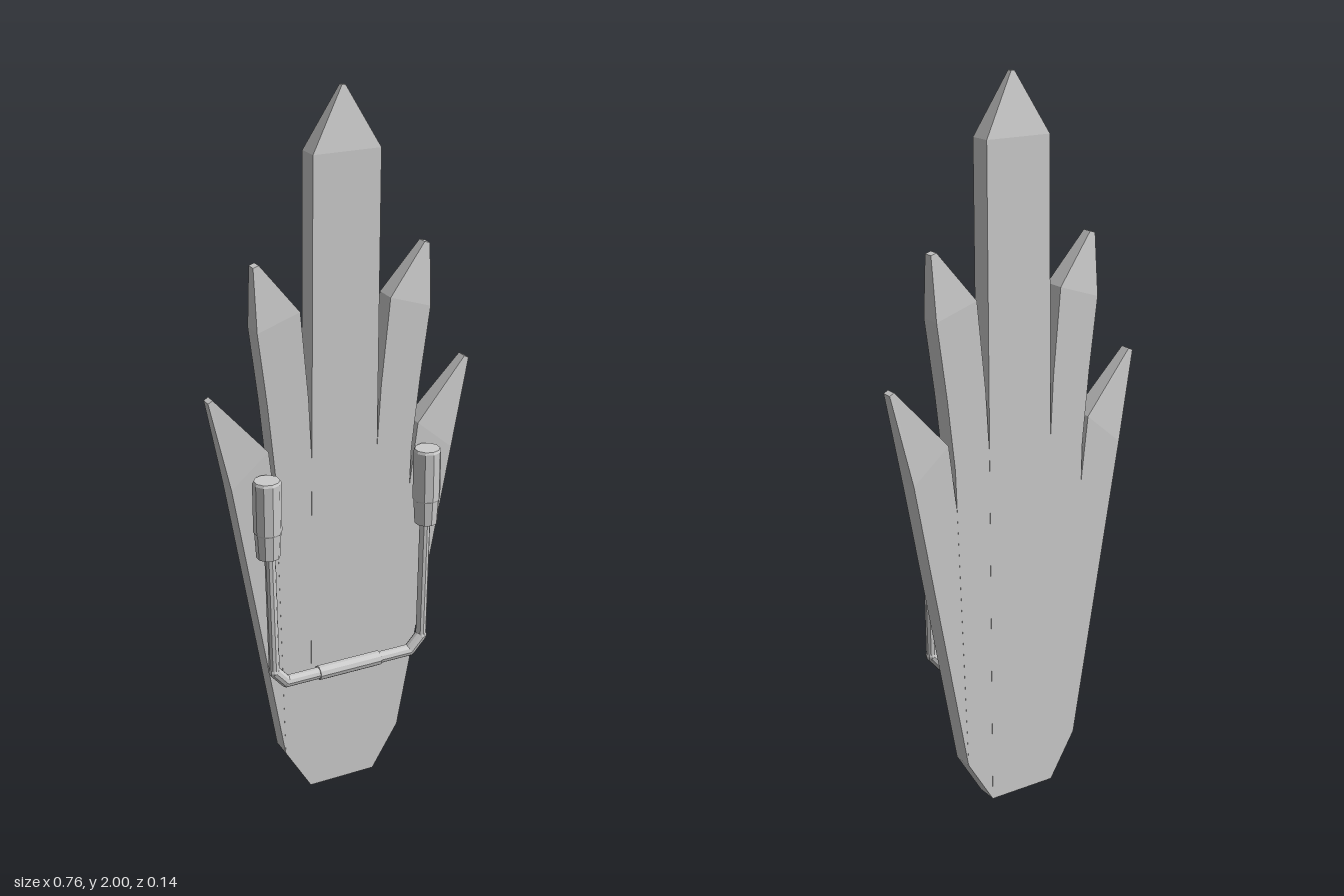
import * as THREE from 'three';

const material = new THREE.MeshStandardMaterial({ color: 0xcccccc, flatShading: true });
const SLAB_Z = -0.042;

function addMesh(parent, name, geometry) {
  const mesh = new THREE.Mesh(geometry, material);
  mesh.name = name;
  parent.add(mesh);
  return mesh;
}

// Lofts four-cornered sections; each row is [innerX, innerY, outerX, outerY, halfDepth].
// The whole fan leans slightly towards +x as it rises.
function plankGeometry(rows, side = 1) {
  const rings = rows.map(([ix, iy, ox, oy, h]) => {
    const inner = [side * ix, iy], outer = [side * ox, oy];
    const [l, r] = side > 0 ? [inner, outer] : [outer, inner];
    return [[l, h], [r, h], [r, -h], [l, -h]].map(
      ([[x, y], z]) => [x - 0.01 + 0.01 * y, y, SLAB_Z + z]);
  });
  const pos = [];
  const quad = (a, b, c, d) => pos.push(...a, ...b, ...c, ...a, ...c, ...d);
  for (let i = 0; i < rings.length - 1; i++) {
    const p = rings[i], q = rings[i + 1];
    for (let k = 0; k < 4; k++) {
      const n = (k + 1) % 4;
      quad(p[k], p[n], q[n], q[k]);
    }
  }
  const first = rings[0], last = rings[rings.length - 1];
  quad(first[3], first[2], first[1], first[0]);
  quad(...last);
  const geometry = new THREE.BufferGeometry();
  geometry.setAttribute('position', new THREE.Float32BufferAttribute(pos, 3));
  geometry.computeVertexNormals();
  return geometry;
}

// Straight round bar between two points
function addBar(parent, name, a, b, radius, sides = 10) {
  const from = new THREE.Vector3(...a), to = new THREE.Vector3(...b);
  const dir = to.clone().sub(from);
  const bar = addMesh(parent, name, new THREE.CylinderGeometry(radius, radius, dir.length(), sides));
  bar.position.copy(from).add(to).multiplyScalar(0.5);
  bar.quaternion.setFromUnitVectors(new THREE.Vector3(0, 1, 0), dir.normalize());
}

export function createModel() {
  const model = new THREE.Group();
  model.name = 'crystalFanWithHarness';

  // Tall centre plank with a pyramid point
  addMesh(model, 'centrePlank', plankGeometry([
    [-0.1, 0, 0.1, 0, 0.031],
    [-0.095, 1.84, 0.095, 1.84, 0.031],
    [-0.005, 2, 0.005, 2, 0.007],
  ]));

  // Two shorter planks on each side
  const middleRows = [
    [0.099, 0, 0.1, 0, 0.0305],
    [0.098, 0.13, 0.178, 0.13, 0.0305],
    [0.097, 1.02, 0.203, 1.0, 0.0305],
    [0.107, 1.2, 0.224, 1.2, 0.0305],
    [0.13, 1.44, 0.25, 1.4, 0.0305],
    [0.236, 1.573, 0.252, 1.568, 0.014],
  ];
  const outerRows = [
    [0.176, 0.13, 0.178, 0.13, 0.03],
    [0.198, 0.87, 0.305, 0.85, 0.03],
    [0.222, 1.07, 0.328, 0.98, 0.03],
    [0.369, 1.235, 0.382, 1.228, 0.015],
  ];
  for (const side of [1, -1]) {
    const label = side > 0 ? 'left' : 'right';
    addMesh(model, label + 'MiddlePlank', plankGeometry(middleRows, side));
    addMesh(model, label + 'OuterPlank', plankGeometry(outerRows, side));
  }

  // U-shaped harness in front of the planks
  const harness = new THREE.Group();
  harness.name = 'harness';
  harness.position.set(-0.009, 0, 0.031);
  model.add(harness);
  addBar(harness, 'crossBar', [-0.192, 0.395, 0], [0.192, 0.395, 0], 0.017);
  addBar(harness, 'gripSleeve', [-0.094, 0.395, 0], [0.094, 0.395, 0], 0.021);

  // Canister outline: tapered collar below, straight body above
  const canister = new THREE.LatheGeometry([
    [0, 0.79], [0.032, 0.79], [0.036, 0.86], [0.0385, 0.865], [0.0385, 1.005], [0.035, 1.012], [0, 1.012],
  ].map(([x, y]) => new THREE.Vector2(x, y)), 10);
  for (const side of [1, -1]) {
    const label = side > 0 ? 'left' : 'right';
    const low = [side * 0.192, 0.395, 0], bend = [side * 0.228, 0.437, 0.002];
    addBar(harness, label + 'Elbow', low, bend, 0.017);
    addBar(harness, label + 'Rod', bend, [side * 0.234, 0.8, 0.002], 0.015);
    for (const p of [low, bend]) {
      addMesh(harness, label + 'Joint', new THREE.SphereGeometry(0.017, 10, 6)).position.set(...p);
    }
    addMesh(harness, label + 'Canister', canister).position.x = side * 0.238;
  }
  return model;
}
